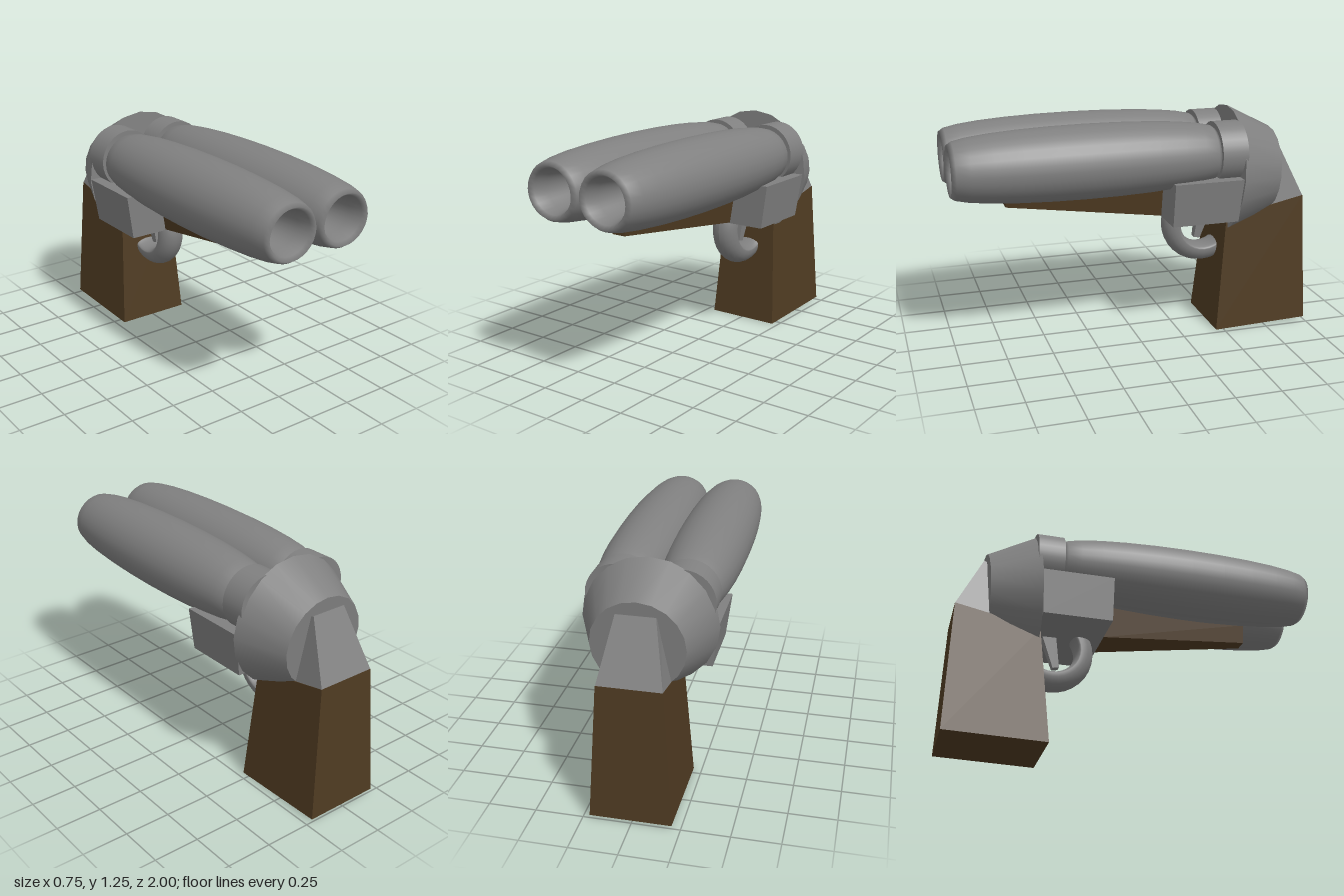
import * as THREE from 'three';

const metal = new THREE.MeshStandardMaterial({ color: 0x808080 });
const metalFlat = new THREE.MeshStandardMaterial({ color: 0x808080, flatShading: true });
const wood = new THREE.MeshStandardMaterial({ color: 0x4f3b22, flatShading: true });

export function createModel() {
  const model = new THREE.Group();

  function add(name, geometry, material, x = 0, y = 0, z = 0) {
    const mesh = new THREE.Mesh(geometry, material);
    mesh.name = name;
    mesh.position.set(x, y, z);
    model.add(mesh);
    return mesh;
  }

  // Six-sided block, symmetric about x; each edge is [z, y, half width]
  function block(name, material, x, { frontTop, frontBottom, backTop, backBottom }) {
    const geometry = new THREE.BoxGeometry(2, 2, 2);
    const p = geometry.attributes.position;
    for (let i = 0; i < p.count; i++) {
      const top = p.getY(i) > 0;
      const [z, y, w] = p.getZ(i) > 0
        ? (top ? frontTop : frontBottom)
        : (top ? backTop : backBottom);
      p.setXYZ(i, p.getX(i) * w, y, z);
    }
    geometry.computeVertexNormals();
    return add(name, geometry, material, x);
  }

  // Two barrels, each a torus stretched along its axis, seated in a collar
  for (const [side, s] of [['left', 1], ['right', -1]]) {
    const barrel = new THREE.TorusGeometry(0.135, 0.065, 24, 28);
    barrel.scale(1.04, 0.985, 0.715 / 0.065);
    add(side + 'Barrel', barrel, metal, s * 0.166, 1.033, 0.285);

    const collar = new THREE.CylinderGeometry(0.166, 0.166, 0.145, 32);
    collar.rotateX(Math.PI / 2);
    add(side + 'Collar', collar, metal, s * 0.167, 1.035, -0.495);
  }

  // Tapered, slightly tilted receiver behind the collars
  const receiver = new THREE.CylinderGeometry(0.354, 0.241, 0.262, 20);
  receiver.rotateX(Math.PI / 2);
  add('receiver', receiver, metal, 0.005, 0.891, -0.672).rotation.x = -0.067;

  // Action block under the barrels
  block('actionBlock', metalFlat, 0, {
    frontTop: [-0.155, 0.914, 0.344], frontBottom: [-0.155, 0.673, 0.311],
    backTop: [-0.545, 0.914, 0.344], backBottom: [-0.528, 0.673, 0.311],
  });

  // Wooden foregrip, deepening towards the back
  block('foregrip', wood, 0.003, {
    frontTop: [0.695, 0.885, 0.057], frontBottom: [0.695, 0.78, 0.038],
    backTop: [-0.157, 0.91, 0.14], backBottom: [-0.157, 0.677, 0.102],
  });

  // Trigger guard ring: deeply rounded outside, shallow inside
  const section = [];
  for (let i = 0; i <= 24; i++) {
    const a = (i / 24) * Math.PI * 2;
    const c = Math.cos(a);
    section.push(new THREE.Vector2(0.155 + c * (c > 0 ? 0.078 : 0.025), 0.078 * Math.sin(a)));
  }
  const guard = new THREE.LatheGeometry(section, 32);
  guard.rotateZ(Math.PI / 2);
  add('triggerGuard', guard, metal, 0.004, 0.598, -0.424);

  block('trigger', metalFlat, 0.004, {
    frontTop: [-0.405, 0.69, 0.035], frontBottom: [-0.38, 0.505, 0.02],
    backTop: [-0.485, 0.69, 0.035], backBottom: [-0.415, 0.497, 0.02],
  });

  // Wooden handle, flaring towards its base
  block('handle', wood, 0.005, {
    frontTop: [-0.515, 0.65, 0.168], frontBottom: [-0.456, 0, 0.21],
    backTop: [-0.975, 0.745, 0.165], backBottom: [-1, 0.016, 0.21],
  });

  // Wedge joining the receiver to the top of the handle
  block('rearWedge', metalFlat, 0.005, {
    frontTop: [-0.74, 1.02, 0.1], frontBottom: [-0.74, 0.69, 0.164],
    backTop: [-0.83, 1.058, 0.1], backBottom: [-0.974, 0.744, 0.164],
  });

  return model;
}
